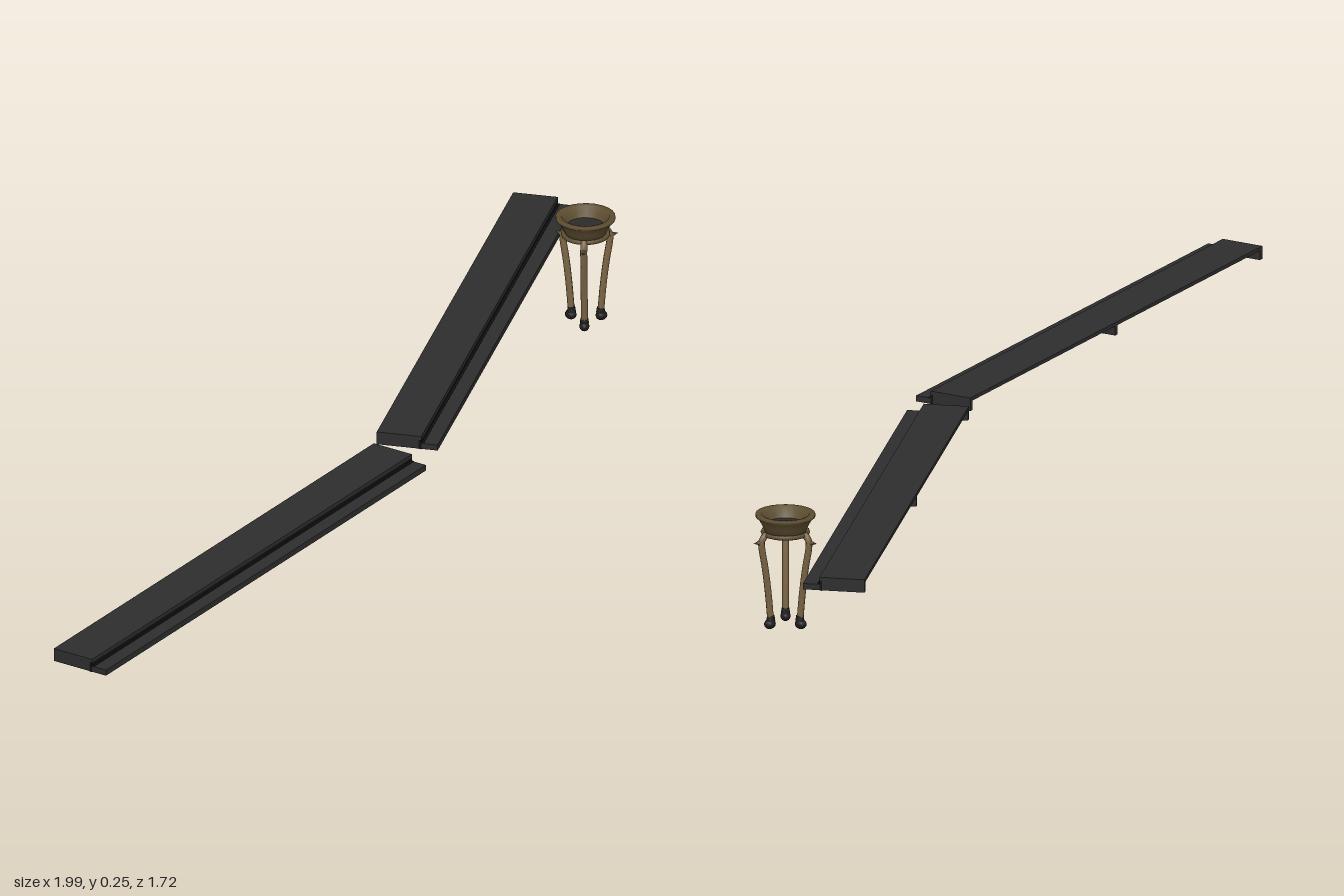
import * as THREE from 'three';

const mat = (name, color, side = THREE.FrontSide) => {
  const m = new THREE.MeshStandardMaterial({ color, side });
  m.name = name;
  return m;
};

export function createModel() {
  const slate = mat('charcoal', 0x2d2d2d);
  const seam = mat('black seam', 0x111111);
  const bronze = mat('bronze', 0x5e4e31, THREE.DoubleSide);
  const tan = mat('pale bronze', 0x7a6444);
  const iron = mat('dark iron', 0x1d1b1b);
  const ash = mat('ash', 0x2c2b29);

  const model = new THREE.Group();
  const add = (parent, name, geo, material, x = 0, y = 0, z = 0) => {
    const mesh = new THREE.Mesh(geo, material);
    mesh.name = name;
    mesh.position.set(x, y, z);
    parent.add(mesh);
    return mesh;
  };

  // Long stepped shelf: raised board, lower front ledge, ribs beneath
  const L = 1.232, W = 0.134, ledge = 0.036;
  const shelf = (name, x, z, degrees) => {
    const g = new THREE.Group();
    g.name = name;
    g.position.set(x, 0, z);
    g.rotation.y = THREE.MathUtils.degToRad(degrees);
    const step = W / 2 - ledge;
    add(g, 'topBoard', new THREE.BoxGeometry(L, 0.008, W - ledge), slate, 0, 0.181, -ledge / 2);
    add(g, 'stepFace', new THREE.BoxGeometry(L, 0.022, 0.006), seam, 0, 0.166, step - 0.003);
    add(g, 'stepSeam', new THREE.BoxGeometry(L, 0.001, 0.005), seam, 0, 0.1697, step + 0.0025);
    add(g, 'frontLedge', new THREE.BoxGeometry(L, 0.013, ledge), slate, 0, 0.1625, W / 2 - ledge / 2);
    for (const s of [-1, 0, 1]) {
      add(g, 'rib', new THREE.BoxGeometry(0.01, 0.021, W - ledge - 0.006), slate,
        s * (L / 2 - 0.005), 0.1665, -ledge / 2 - 0.003);
    }
    model.add(g);
  };
  shelf('leftShelf', -0.433, 0.495, 30);
  shelf('rightShelf', 0.545, -0.348, 50);

  // Tripod brazier
  const brazier = new THREE.Group();
  brazier.name = 'brazier';
  brazier.position.set(0.912, 0, -0.56);
  model.add(brazier);

  // Flared bowl with a thick rim and a hollow inside
  const profile = [[0, 0.2], [0.028, 0.203], [0.043, 0.212], [0.05, 0.228], [0.058, 0.243],
    [0.064, 0.247], [0.064, 0.253], [0.051, 0.253], [0.045, 0.238], [0.038, 0.226]];
  add(brazier, 'bowl', new THREE.LatheGeometry(
    profile.map(([r, y]) => new THREE.Vector2(r, y)), 24), bronze);
  add(brazier, 'ashBed', new THREE.CylinderGeometry(0.041, 0.038, 0.004, 24), ash, 0, 0.228);

  // Support ring under the bowl
  const ring = add(brazier, 'supportRing', new THREE.TorusGeometry(0.048, 0.005, 8, 24), bronze, 0, 0.212);
  ring.rotation.x = Math.PI / 2;

  // Three curved legs, each with a bracket knob and a dark foot
  const path = new THREE.CatmullRomCurve3([[0.046, 0.214], [0.058, 0.201], [0.058, 0.185],
    [0.05, 0.14], [0.042, 0.08], [0.036, 0.016]].map(([x, y]) => new THREE.Vector3(x, y, 0)));
  const legGeo = new THREE.TubeGeometry(path, 20, 0.0075, 8);
  for (let i = 0; i < 3; i++) {
    const leg = new THREE.Group();
    leg.name = 'leg';
    leg.rotation.y = (i * Math.PI * 2) / 3;
    add(leg, 'shaft', legGeo, tan);
    const knob = add(leg, 'kneeSpur', new THREE.ConeGeometry(0.008, 0.022, 8), bronze, 0.067, 0.197);
    knob.rotation.z = -Math.PI / 2;
    add(leg, 'ankle', new THREE.CylinderGeometry(0.008, 0.01, 0.012, 10), iron, 0.036, 0.024);
    add(leg, 'foot', new THREE.SphereGeometry(0.011, 12, 8), iron, 0.038, 0.011).scale.x = 1.2;
    brazier.add(leg);
  }
  return model;
}
